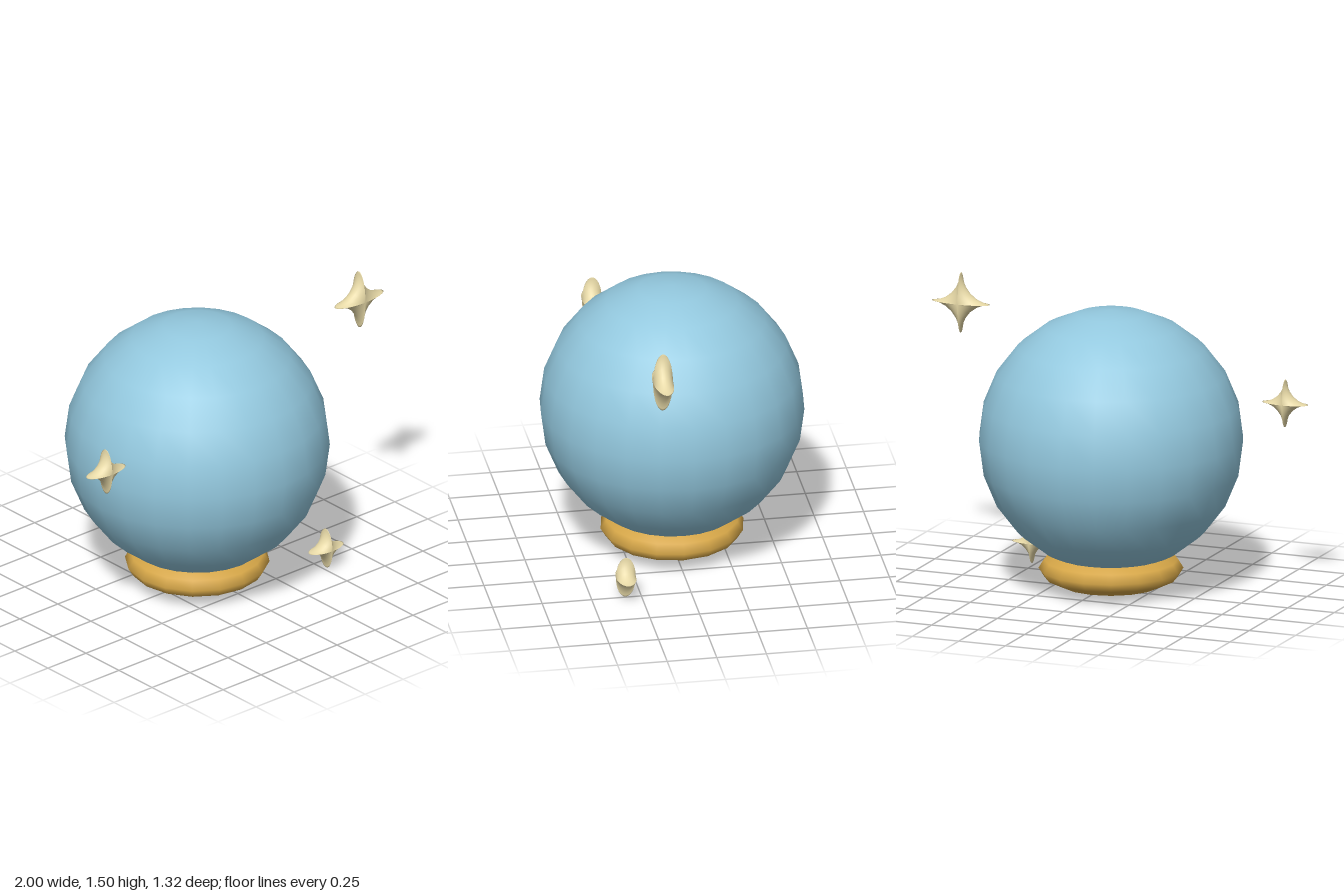
import * as THREE from 'three';
import { mergeVertices } from 'three/addons/utils/BufferGeometryUtils.js';

// Puffy four-pointed star: a flattened ball whose outline is pinched between the axes
function starGeometry(radius, depth) {
  const geo = new THREE.SphereGeometry(1, 32, 16).rotateX(Math.PI / 2);
  const pos = geo.attributes.position;
  const pinch = (v) => Math.sign(v) * Math.pow(Math.abs(v), 3.4);
  for (let i = 0; i < pos.count; i++) {
    const x = pos.getX(i), y = pos.getY(i), z = pos.getZ(i);
    const r = Math.hypot(x, y);
    const a = Math.atan2(y, x);
    pos.setXYZ(i, radius * r * pinch(Math.cos(a)), radius * r * pinch(Math.sin(a)), depth * z);
  }
  geo.deleteAttribute('uv');
  geo.deleteAttribute('normal');
  const smooth = mergeVertices(geo, 1e-5);
  smooth.computeVertexNormals();
  return smooth;
}

export function createModel() {
  const group = new THREE.Group();
  const blue = new THREE.MeshStandardMaterial({ name: 'sky blue', color: 0x93c8de });
  const gold = new THREE.MeshStandardMaterial({ name: 'gold', color: 0xd4a547 });
  const cream = new THREE.MeshStandardMaterial({ name: 'pale cream', color: 0xe6d8a6 });

  const add = (name, geometry, material, x, y, z) => {
    const mesh = new THREE.Mesh(geometry, material);
    mesh.name = name;
    mesh.position.set(x, y, z);
    group.add(mesh);
  };

  // Crystal ball
  add('ball', new THREE.SphereGeometry(0.66, 24, 12), blue, -0.05, 0.78, 0);

  // Cushion-shaped base, a flattened ball
  add('base', new THREE.SphereGeometry(1, 16, 8).scale(0.36, 0.115, 0.36), gold, -0.05, 0.12, 0);

  // Floating sparkles
  add('largeStar', starGeometry(0.155, 0.05), cream, 0.84, 1.345, 0.2);
  add('mediumStar', starGeometry(0.122, 0.05), cream, -0.878, 0.98, 0.26);
  add('smallStar', starGeometry(0.107, 0.05), cream, 0.51, 0.12, 0.33);

  return group;
}
